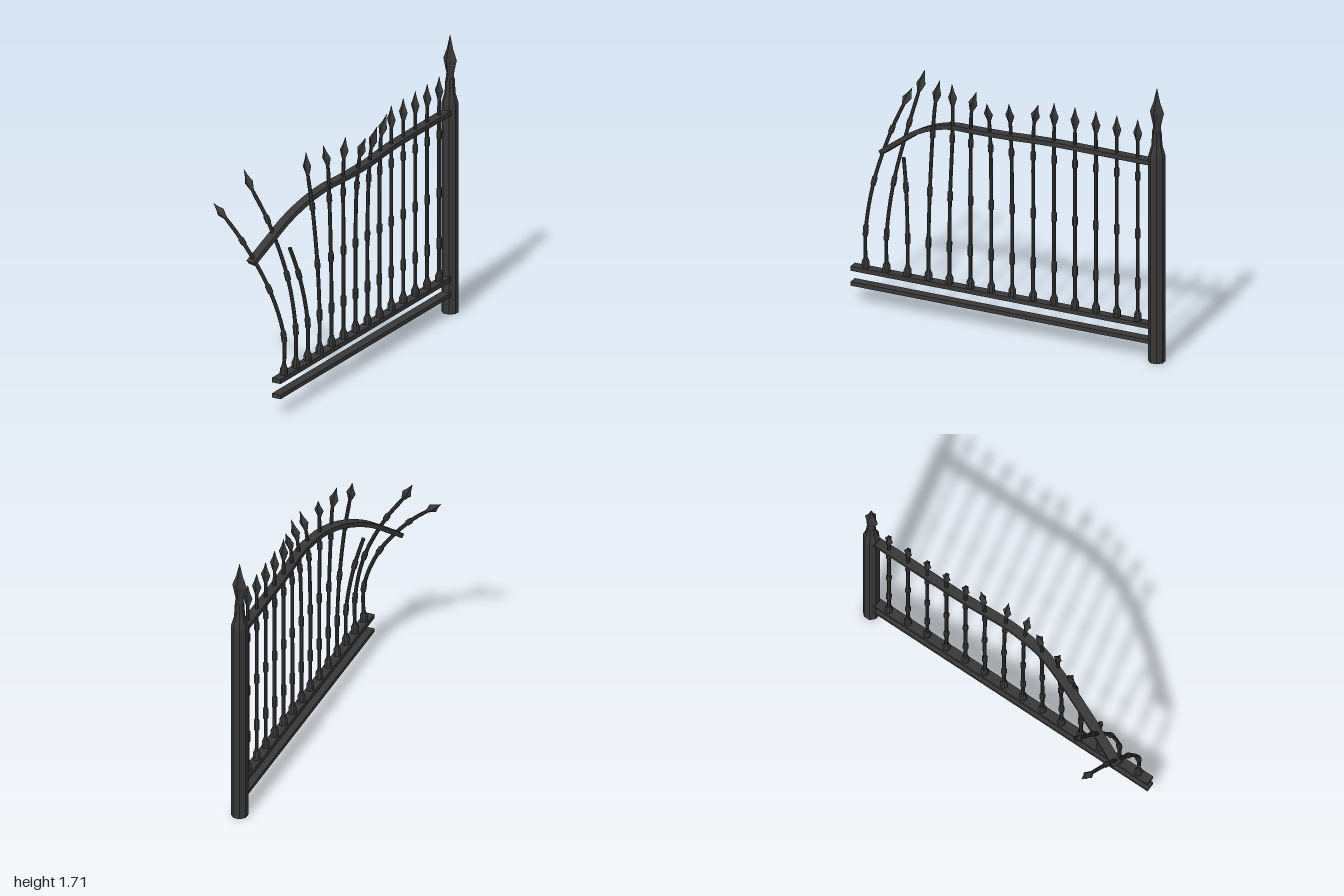
import * as THREE from 'three';

const X = 0.215; // plane of the fence
const V = (x, y, z) => new THREE.Vector3(x, y, z);

// Skin a list of equal-sized rings, cap both ends, flat faces
function loft(rings) {
  const n = rings[0].length, pos = [];
  const tri = (...p) => p.forEach((v) => pos.push(v.x, v.y, v.z));
  for (let i = 0; i < rings.length - 1; i++) {
    for (let j = 0; j < n; j++) {
      const k = (j + 1) % n, a = rings[i], b = rings[i + 1];
      tri(a[j], a[k], b[k]);
      tri(a[j], b[k], b[j]);
    }
  }
  const first = rings[0], last = rings[rings.length - 1];
  for (let j = 1; j < n - 1; j++) {
    tri(first[0], first[j + 1], first[j]);
    tri(last[0], last[j], last[j + 1]);
  }
  const g = new THREE.BufferGeometry();
  g.setAttribute('position', new THREE.Float32BufferAttribute(pos, 3));
  g.computeVertexNormals();
  return g;
}

// Eight-point ring around an axis; alternate radii make a four-ridged star
function ring(c, dir, r, r2 = r, turn = 0) {
  const q = new THREE.Quaternion().setFromUnitVectors(V(0, 1, 0), dir);
  return Array.from({ length: 8 }, (_, j) => {
    const a = (j / 8) * Math.PI * 2 + turn, rad = j % 2 ? r2 : r;
    return V(Math.sin(a) * rad, 0, Math.cos(a) * rad).applyQuaternion(q).add(c);
  });
}

// Picket outline: height, radius, alternate radius
const S = 0.0115;
const PICKET = [
  [0.225, 0.024], [0.265, 0.024], [0.285, 0.015], [0.3, S], [0.36, S],
  [0.425, S], [0.435, 0.017], [0.49, 0.017], [0.502, S], [0.56, S], [0.62, S], [0.68, S],
  [0.742, S], [0.752, 0.017], [0.798, 0.017], [0.808, S], [0.87, S], [0.95, S], [1.03, S],
  [1.1, S], [1.11, 0.017], [1.15, 0.017], [1.16, S], [1.22, S], [1.29, S],
  [1.345, 0.01], [1.36, 0.015, 0.012], [1.4, 0.029, 0.016], [1.44, 0.013, 0.008], [1.487, 0.001],
];
const KEYS = [0.225, 0.47, 0.775, 1.13, 1.36, 1.487];

// Positions of the last four keys for pickets that are bent
const BENT = {
  5: [[X, 0.775, -0.16], [0.217, 1.13, -0.16], [0.222, 1.355, -0.17], [0.238, 1.467, -0.202]],
  6: [[X, 0.775, -0.024], [0.224, 1.13, -0.024], [0.242, 1.33, -0.025], [0.275, 1.455, -0.033]],
  7: [[X, 0.775, 0.11], [0.224, 1.13, 0.11], [0.245, 1.32, 0.11], [0.28, 1.432, 0.107]],
  8: [[X, 0.775, 0.243], [0.212, 1.13, 0.243], [0.212, 1.345, 0.237], [0.208, 1.457, 0.21]],
  9: [[0.21, 0.775, 0.377], [0.195, 1.13, 0.37], [0.185, 1.34, 0.373], [0.165, 1.456, 0.387]],
  10: [[0.2, 0.775, 0.512], [0.165, 1.12, 0.511], [0.132, 1.32, 0.508], [0.112, 1.438, 0.493]],
  11: [[0.174, 0.76, 0.678], [0.09, 1.09, 0.752], [0.04, 1.3, 0.8], [0.01, 1.42, 0.825]],
  12: [[0.15, 0.775, 0.767], [0.002, 1.085, 0.742], [-0.108, 1.25, 0.733], [-0.165, 1.355, 0.726]],
  13: [[0.115, 0.735, 0.912], [-0.075, 0.985, 0.893], [-0.205, 1.105, 0.876], [-0.285, 1.17, 0.866]],
};

function picketGeometry(i) {
  const z = -0.83 + i * 0.1343;
  const pts = KEYS.map((y, k) => (BENT[i] && k > 1 ? V(...BENT[i][k - 2]) : V(X, y, z)));
  const curve = new THREE.CatmullRomCurve3(pts);
  const top = i === 11 ? 0.95 : 2; // one picket is snapped off
  const rings = PICKET.filter((p) => p[0] <= top).map(([y, r, r2]) => {
    let k = 0;
    while (k < KEYS.length - 2 && y > KEYS[k + 1]) k++;
    const t = (k + (y - KEYS[k]) / (KEYS[k + 1] - KEYS[k])) / (KEYS.length - 1);
    return ring(curve.getPoint(t), curve.getTangent(t), r, r2);
  });
  return loft(rings);
}

// Flat bar swept along the buckled top line
function topRailGeometry() {
  const curve = new THREE.CatmullRomCurve3([
    [X, 1.24, -0.93], [X, 1.24, -0.6], [0.216, 1.24, -0.3], [0.224, 1.238, -0.15],
    [0.231, 1.233, 0], [0.224, 1.227, 0.12], [0.207, 1.217, 0.25], [0.168, 1.197, 0.38],
    [0.125, 1.15, 0.51], [0.08, 1.075, 0.65], [0.042, 0.985, 0.77], [-0.005, 0.87, 0.915],
  ].map((p) => V(...p)));
  const rings = [];
  for (let i = 0; i <= 30; i++) {
    const c = curve.getPoint(i / 30), t = curve.getTangent(i / 30);
    const side = V(0, 1, 0).cross(t).normalize(), up = t.clone().cross(side);
    rings.push([[1, 1], [-1, 1], [-1, -1], [1, -1]].map(([a, b]) =>
      c.clone().addScaledVector(side, a * 0.029).addScaledVector(up, b * 0.014)));
  }
  return loft(rings);
}

export function createModel() {
  const group = new THREE.Group();
  group.name = 'brokenFence';
  const iron = new THREE.MeshStandardMaterial({ color: 0x383838 });
  iron.name = 'darkIron';
  const add = (name, geo) => {
    const m = new THREE.Mesh(geo, iron);
    m.name = name;
    group.add(m);
    return m;
  };

  // End post with tapered neck and spear finial
  const up = V(0, 1, 0), pz = -0.953;
  add('post', loft([[0, 0.05], [1.285, 0.05], [1.35, 0.032], [1.44, 0.027]]
    .map(([y, r]) => ring(V(X, y, pz), up, r, r, Math.PI / 8))));
  add('postFinial', loft([[1.435, 0.028, 0.024], [1.47, 0.025, 0.022], [1.555, 0.045, 0.027],
    [1.62, 0.021, 0.014], [1.705, 0.001]]
    .map(([y, r, r2]) => ring(V(X, y, pz), up, r, r2))));

  // Two straight rails at the bottom
  [['lowerRail', 0.122, 0.025], ['picketRail', 0.217, 0.028]].forEach(([name, y, h]) => {
    add(name, new THREE.BoxGeometry(0.058, h, 1.93)).position.set(X, y, 0.035);
  });
  add('topRail', topRailGeometry());

  // Pickets, increasingly bent toward the free end
  for (let i = 0; i < 14; i++) add('picket' + (i + 1), picketGeometry(i));
  return group;
}
